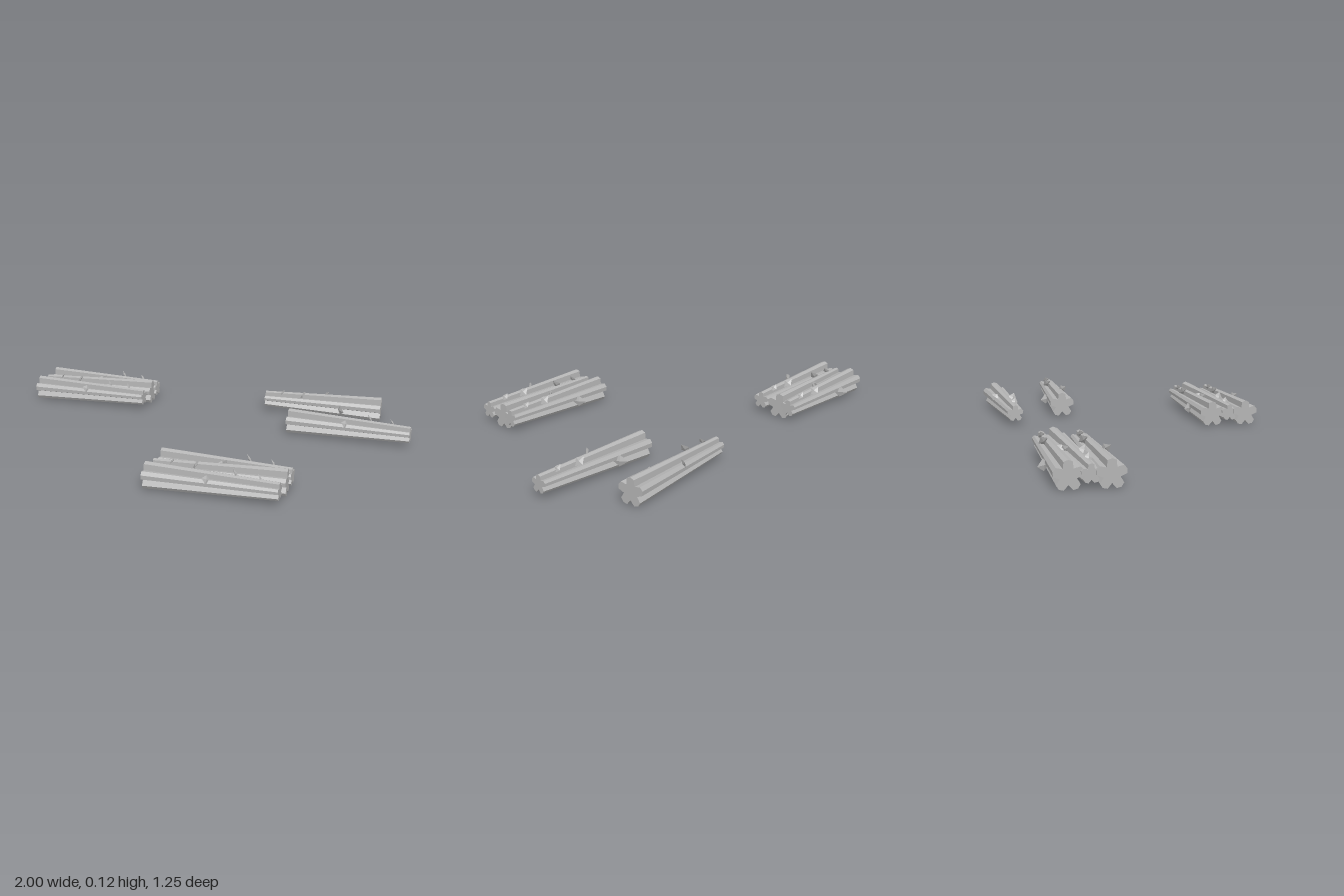
import * as THREE from 'three';

const LENGTH = 0.6, THICK = 0.063, THIN = 0.041;
// Radius factors of one lobe, from groove to groove
const LOBE = [0.55, 0.93, 1, 0.93];
const LOBES = 5;

// Twig stubs: position along the log, angle from the top toward +z, size
const TWIGS = [
  [0.21, -0.3, 0.7],
  [0.1, -0.5, 0.95],
  [-0.01, 0.95, 0.85],
  [-0.1, -1.65, 1.15],
];

// Tapered trunk with lobed section, thick end at -x and thin end at +x
function trunkGeometry() {
  const sides = LOBES * LOBE.length;
  const geo = new THREE.CylinderGeometry(THIN, THICK, LENGTH, sides, 1).toNonIndexed();
  const pos = geo.attributes.position;
  for (let i = 0; i < pos.count; i++) {
    const x = pos.getX(i), z = pos.getZ(i);
    if (Math.hypot(x, z) < 1e-6) continue;
    const step = Math.round((Math.atan2(z, x) / (Math.PI * 2)) * sides);
    const k = LOBE[(step + 2 + sides) % LOBE.length];
    pos.setXYZ(i, x * k, pos.getY(i), z * k);
  }
  // Lay it down with one lobe pointing up
  geo.rotateZ(-Math.PI / 2);
  geo.rotateX(Math.PI);
  geo.computeVertexNormals();
  // Turn so that a lobe is highest
  let best = -1, angle = 0;
  for (let i = 0; i < pos.count; i++) {
    const r = Math.hypot(pos.getY(i), pos.getZ(i));
    if (r > best + 1e-5) { best = r; angle = Math.atan2(pos.getZ(i), pos.getY(i)); }
  }
  geo.rotateX(-angle);
  // Lift the thin end very slightly
  geo.rotateZ(0.008);
  return geo;
}

// Thin diamond stub leaning toward the thick end
function twigGeometry(x, angle, size) {
  const radius = THREE.MathUtils.lerp(THICK, THIN, x / LENGTH + 0.5);
  const geo = new THREE.OctahedronGeometry(1);
  geo.scale(0.006 * size, 0.03 * size, 0.023 * size);
  geo.rotateZ(0.6);
  geo.translate(x, radius + 0.004, 0);
  geo.rotateX(angle);
  return geo;
}

export function createModel() {
  const model = new THREE.Group();
  model.name = 'firewood';
  const wood = new THREE.MeshStandardMaterial({ color: 0xb4b4b4 });
  wood.name = 'grey wood';
  wood.flatShading = true;

  const trunkGeo = trunkGeometry();
  const twigGeos = TWIGS.map((t) => twigGeometry(...t));

  function addLog(parent, name, x, z, yaw) {
    const log = new THREE.Group();
    log.name = name;
    const trunk = new THREE.Mesh(trunkGeo, wood);
    trunk.name = 'trunk';
    log.add(trunk);
    twigGeos.forEach((g, i) => {
      const twig = new THREE.Mesh(g, wood);
      twig.name = 'twigStub' + (i + 1);
      log.add(twig);
    });
    log.position.set(x, 0.06, z);
    log.rotation.y = yaw;
    parent.add(log);
  }

  // Two single logs
  addLog(model, 'frontSingleLog', 0.7, -0.253, -0.058);
  addLog(model, 'backSingleLog', 0.52, -0.551, Math.PI + 0.03);

  // Two identical bundles of three logs
  [['backBundle', 0, 0], ['frontBundle', 0.94, 0.93]].forEach(([name, dx, dz]) => {
    const bundle = new THREE.Group();
    bundle.name = name;
    bundle.position.set(dx, 0, dz);
    addLog(bundle, 'backLog', -0.68, -0.535, -0.017);
    addLog(bundle, 'middleLog', -0.69, -0.465, Math.PI + 0.04);
    addLog(bundle, 'frontLog', -0.7, -0.37, -0.018);
    model.add(bundle);
  });

  return model;
}
